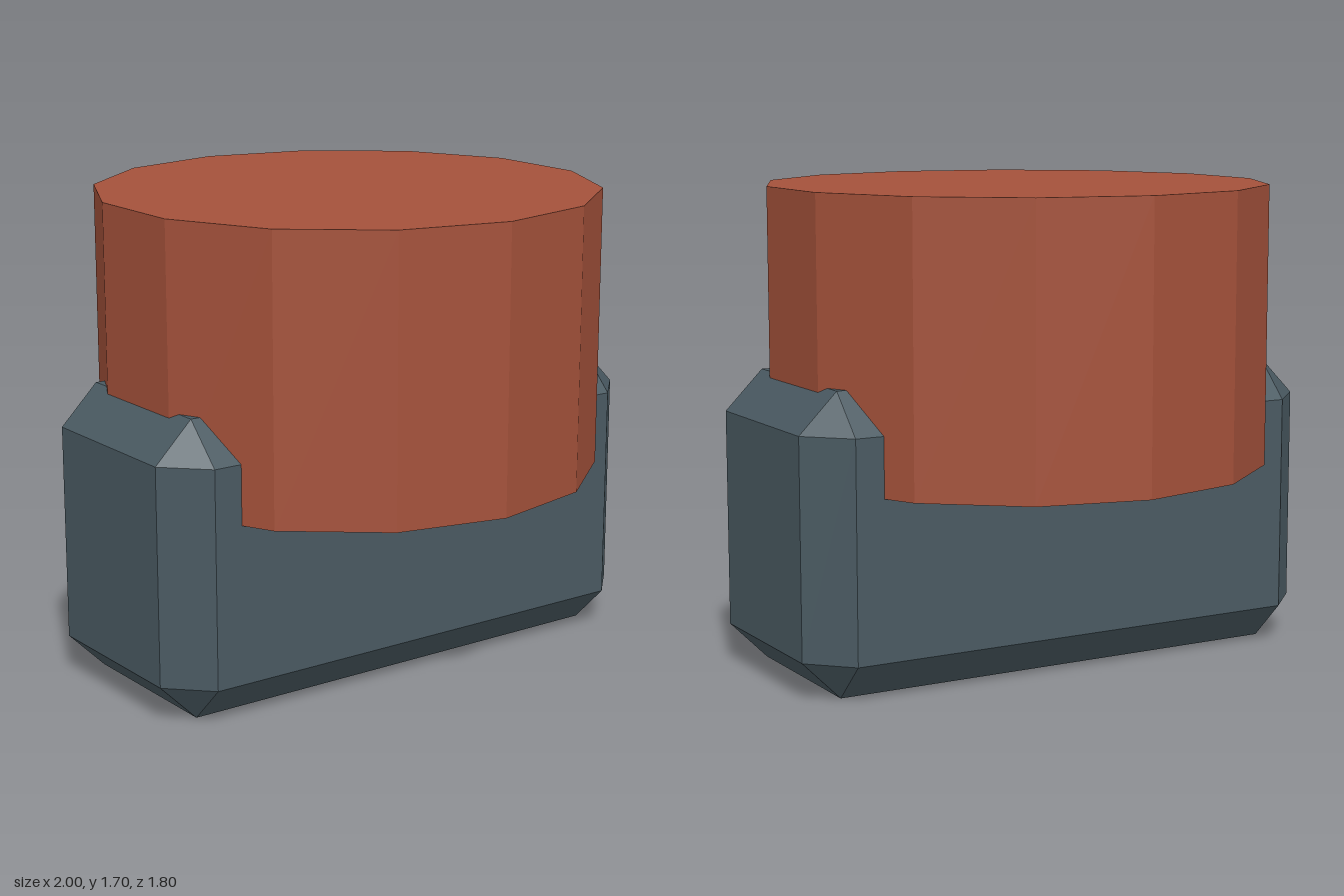
import * as THREE from 'three';
import { ConvexGeometry } from 'three/addons/geometries/ConvexGeometry.js';

// Box with every edge cut at 45 degrees and triangular corners
function chamferedBox(width, height, depth, cut) {
  const points = [];
  const [w, h, d] = [width / 2, height / 2, depth / 2];
  for (const sx of [-1, 1]) for (const sy of [-1, 1]) for (const sz of [-1, 1]) {
    points.push(
      new THREE.Vector3(sx * w, sy * (h - cut), sz * (d - cut)),
      new THREE.Vector3(sx * (w - cut), sy * h, sz * (d - cut)),
      new THREE.Vector3(sx * (w - cut), sy * (h - cut), sz * d)
    );
  }
  return new ConvexGeometry(points);
}

function addPart(group, name, geometry, color, y) {
  const material = new THREE.MeshStandardMaterial({ color, flatShading: true });
  const mesh = new THREE.Mesh(geometry, material);
  mesh.name = name;
  mesh.position.y = y;
  group.add(mesh);
}

export function createModel() {
  const group = new THREE.Group();
  group.name = 'drumOnBase';

  // Chamfered block that cradles the drum
  addPart(group, 'base', chamferedBox(2, 1.05, 0.9, 0.14), 0x4a5a62, 0.525);

  // Fourteen-sided drum sunk into the block
  addPart(group, 'drum', new THREE.CylinderGeometry(0.9, 0.9, 1, 14), 0xa5523b, 1.2);

  return group;
}
